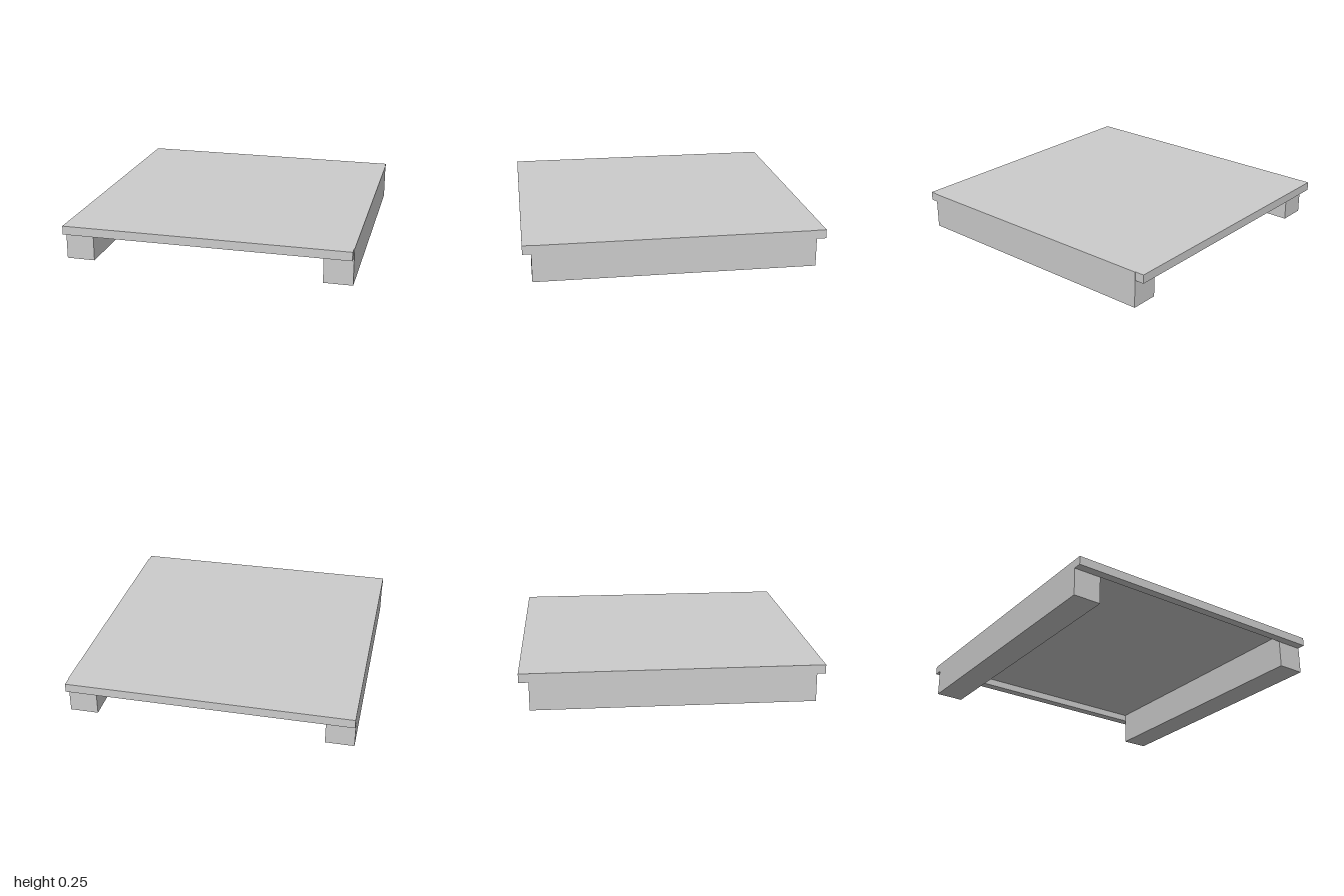
import * as THREE from 'three';

export function createModel() {
  const group = new THREE.Group();
  const material = new THREE.MeshStandardMaterial({ color: 0xcccccc, flatShading: true });

  // Box given by its limits on each axis
  const addBox = (name, [x0, x1], [y0, y1], [z0, z1]) => {
    const mesh = new THREE.Mesh(new THREE.BoxGeometry(x1 - x0, y1 - y0, z1 - z0), material);
    mesh.position.set((x0 + x1) / 2, (y0 + y1) / 2, (z0 + z1) / 2);
    mesh.name = name;
    group.add(mesh);
  };

  const top = 0.25;
  const railBottom = 0.19;

  // Long side runners carrying the platform
  addBox('leftRunner', [0.783, 0.977], [0, top], [-0.935, 0.943]);
  addBox('rightRunner', [-0.977, -0.783], [0, top], [-0.935, 0.943]);

  // Shallow rails closing the front and back
  addBox('frontRail', [-0.977, 0.973], [railBottom, top], [0.943, 1]);
  addBox('backRail', [-0.977, 0.973], [railBottom, top], [-1, -0.935]);

  // Thin deck set inside the frame
  addBox('deckPanel', [-0.783, 0.783], [top - 0.01, top], [-0.935, 0.943]);

  return group;
}
